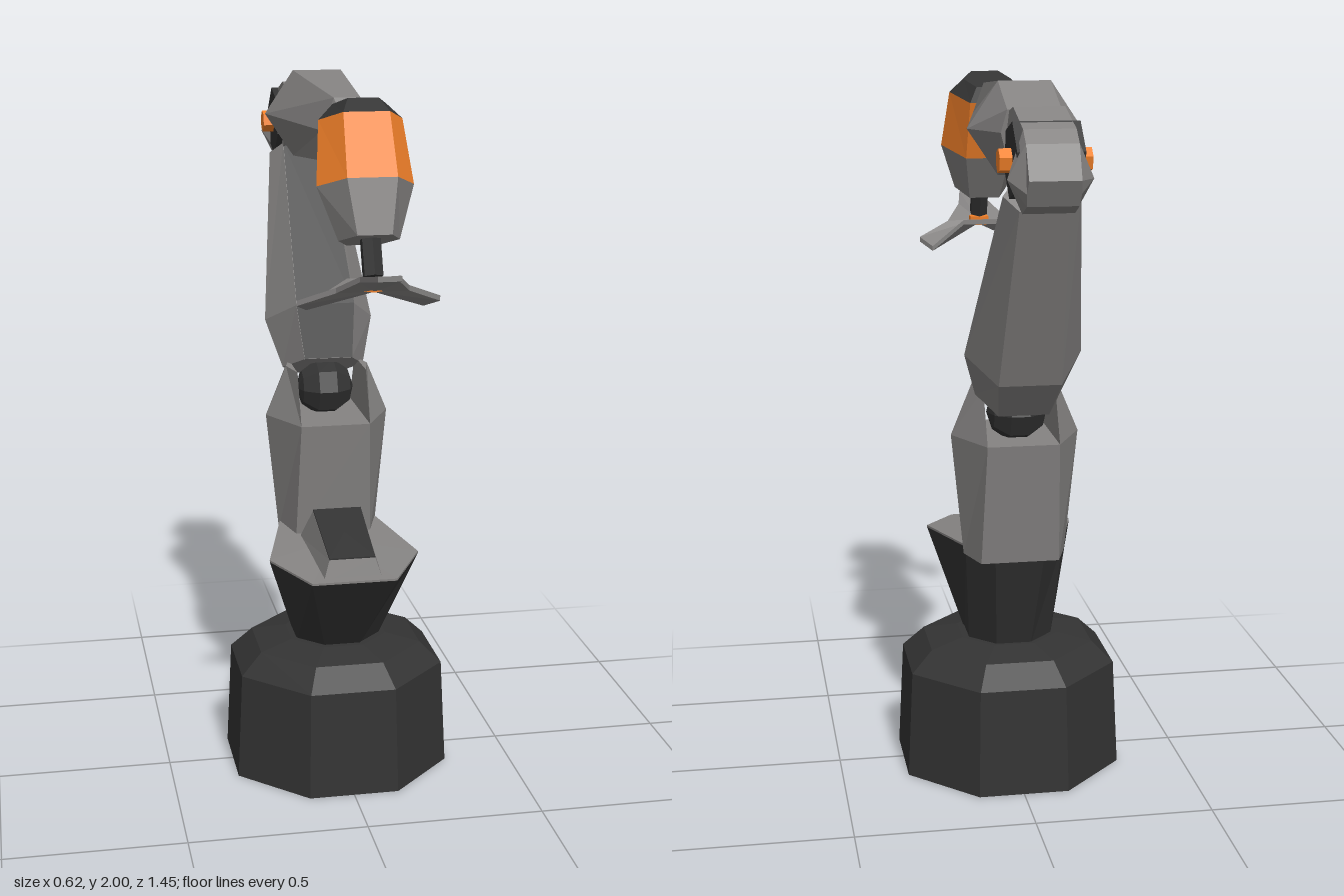
import * as THREE from 'three';

const paint = (color) => new THREE.MeshStandardMaterial({ color, flatShading: true });
const grey = paint(0x858382);
const dark = paint(0x333333);
const orange = paint(0xf5822a);
const darkPanel = paint(0x333333);
darkPanel.side = THREE.DoubleSide;

// Closed solid through matching rings of [x, y, z] points, capped by centre fans
function loft(name, material, rings) {
  const tris = [];
  const n = rings[0].length;
  const centre = (ring) => [0, 1, 2].map((k) => ring.reduce((s, p) => s + p[k], 0) / n);
  const first = rings[0], last = rings[rings.length - 1];
  const c0 = centre(first), c1 = centre(last);
  for (let i = 0; i < n; i++) {
    const j = (i + 1) % n;
    for (let r = 0; r < rings.length - 1; r++) {
      const a = rings[r], b = rings[r + 1];
      tris.push([a[i], a[j], b[j]], [a[i], b[j], b[i]]);
    }
    tris.push([c0, first[j], first[i]], [c1, last[i], last[j]]);
  }
  // turn the faces outward when the enclosed volume comes out negative
  const v = tris.map((t) => t.map((p) => new THREE.Vector3(...p)));
  const volume = v.reduce((s, [a, b, c]) => s + a.dot(b.clone().cross(c)), 0);
  if (volume < 0) v.forEach((t) => t.reverse());
  const geometry = new THREE.BufferGeometry().setFromPoints(v.flat());
  geometry.computeVertexNormals();
  const mesh = new THREE.Mesh(geometry, material);
  mesh.name = name;
  return mesh;
}

// Hexagonal ring symmetric in x between two side-view points [z, y]
function hex([fz, fy], [bz, by], wf, wm, wb = wf) {
  const mz = (fz + bz) / 2, my = (fy + by) / 2;
  return [[wf, fy, fz], [wm, my, mz], [wb, by, bz], [-wb, by, bz], [-wm, my, mz], [-wf, fy, fz]];
}

// Adds the mirror image in x to half an outline
const mirrored = (half) => [...half, ...half.map(([x, y, z]) => [-x, y, z]).reverse()];

// Prism or tapered rod between two points
function rod(name, material, from, to, radius, sides) {
  const a = new THREE.Vector3(...from), b = new THREE.Vector3(...to);
  const mesh = new THREE.Mesh(new THREE.CylinderGeometry(radius, radius, a.distanceTo(b), sides), material);
  mesh.quaternion.setFromUnitVectors(new THREE.Vector3(0, 1, 0), b.clone().sub(a).normalize());
  mesh.position.copy(a).add(b).multiplyScalar(0.5);
  mesh.name = name;
  return mesh;
}

export function createModel() {
  const model = new THREE.Group();
  model.name = 'robotArm';

  // Octagonal base, flat sides facing the axes
  const octagon = (apothem, y, z) => Array.from({ length: 8 }, (_, i) => {
    const t = (i + 0.5) * Math.PI / 4, r = apothem / Math.cos(Math.PI / 8);
    return [r * Math.cos(t), y, z + r * Math.sin(t)];
  });
  model.add(loft('base', dark, [
    octagon(0.31, 0, -0.005), octagon(0.295, 0.31, -0.005),
    octagon(0.235, 0.37, -0.005), octagon(0.14, 0.39, -0.005),
  ]));

  // Flared turret with a grey deck
  const turretFoot = mirrored([[0.05, 0.38, 0.11], [0.12, 0.38, 0.04], [0.12, 0.38, -0.06], [0.05, 0.38, -0.13]]);
  const rim = mirrored([[0.12, 0.645, 0.305], [0.215, 0.665, 0.145], [0.14, 0.69, -0.14], [0.07, 0.69, -0.24]]);
  const raise = (ring, dy) => ring.map(([x, y, z]) => [x, y + dy, z]);
  model.add(loft('turret', dark, [turretFoot, rim]));
  model.add(loft('deck', grey, [rim, raise(rim, 0.006)]));

  // Wedge cover on the deck, dark on top
  const coverTop = [[0.065, 0.703, 0.265], [0.07, 0.772, 0.03], [-0.07, 0.772, 0.03], [-0.065, 0.703, 0.265]];
  model.add(loft('deckCover', grey, [
    [[0.085, 0.64, 0.28], [0.1, 0.68, -0.02], [-0.1, 0.68, -0.02], [-0.085, 0.64, 0.28]], coverTop,
  ]));
  model.add(loft('deckCoverTop', dark, [coverTop, raise(coverTop, 0.004)]));

  // Shoulder column and its two fork prongs
  model.add(loft('shoulder', grey, [
    hex([-0.03, 0.67], [-0.24, 0.67], 0.11, 0.145),
    hex([0.015, 1.02], [-0.295, 1.02], 0.1, 0.18),
  ]));
  for (const s of [1, -1]) {
    model.add(loft(s > 0 ? 'leftShoulderProng' : 'rightShoulderProng', grey, [
      [[s * 0.1, 1.02, 0.015], [s * 0.18, 1.02, -0.14], [s * 0.1, 1.02, -0.295]],
      [[s * 0.1, 1.165, -0.05], [s * 0.12, 1.165, -0.135], [s * 0.1, 1.165, -0.22]],
    ]));
  }
  const ball = new THREE.Mesh(new THREE.SphereGeometry(0.085, 8, 5), dark);
  ball.rotation.z = Math.PI / 2;
  ball.position.set(0, 1.09, -0.17);
  ball.name = 'shoulderJoint';
  model.add(ball);

  // Upper arm with a dark strip down its front
  const armFront = [[-0.105, 1.19, 0.07], [-0.155, 1.34, 0.085], [-0.505, 1.767, 0.065]];
  const armBack = [[-0.29, 1.105], [-0.39, 1.21], [-0.59, 1.7]];
  const armWidth = [0.12, 0.16, 0.1];
  model.add(loft('upperArm', grey, armFront.map(([z, y, w], i) => hex([z, y], armBack[i], w, armWidth[i]))));
  const strip = new THREE.PlaneGeometry(1, 1, 1, 2);
  armFront.forEach(([z, y, w], i) => {
    strip.attributes.position.setXYZ(i * 2, -w, y + 0.002, z + 0.004);
    strip.attributes.position.setXYZ(i * 2 + 1, w, y + 0.002, z + 0.004);
  });
  strip.computeVertexNormals();
  const stripMesh = new THREE.Mesh(strip, darkPanel);
  stripMesh.name = 'upperArmStrip';
  model.add(stripMesh);

  // Elbow: dark hexagonal hub, orange pins, grey housing
  const hub = new THREE.Group();
  hub.name = 'elbowHub';
  hub.position.set(0, 1.825, -0.577);
  hub.rotation.x = 0.3;
  hub.add(rod('hub', dark, [-0.085, 0, 0], [0.085, 0, 0], 0.1, 6));
  hub.add(rod('hubPins', orange, [-0.117, 0, 0], [0.117, 0, 0], 0.032, 6));
  model.add(hub);
  model.add(loft('elbowBand', grey, [
    hex([-0.44, 1.935], [-0.42, 1.83], 0.066, 0.07),
    hex([-0.5, 1.95], [-0.49, 1.76], 0.066, 0.075),
    hex([-0.645, 1.907], [-0.6, 1.725], 0.066, 0.075),
    hex([-0.685, 1.875], [-0.635, 1.7], 0.066, 0.108),
    hex([-0.727, 1.79], [-0.695, 1.725], 0.065, 0.068),
  ]));

  // Forearm
  model.add(loft('forearm', grey, [
    hex([-0.435, 1.938], [-0.42, 1.82], 0.07, 0.085),
    hex([-0.287, 2.0], [-0.287, 1.756], 0.07, 0.152),
    hex([0.175, 1.965], [0.175, 1.793], 0.036, 0.068),
    hex([0.222, 1.92], [0.222, 1.835], 0.025, 0.045),
  ]));
  model.add(rod('wrist', dark, [0, 1.88, 0.2], [0, 1.88, 0.31], 0.034, 6));

  // Hand: dark cap, orange shell, grey lower part
  const capTop = hex([0.39, 1.985], [0.285, 1.945], 0.04, 0.07);
  const shellTop = hex([0.435, 1.955], [0.275, 1.9], 0.06, 0.11);
  const shellLow = hex([0.515, 1.8], [0.33, 1.735], 0.065, 0.127);
  const handLow = hex([0.548, 1.66], [0.4, 1.61], 0.045, 0.08);
  model.add(loft('handCap', dark, [capTop, shellTop]));
  model.add(loft('handShell', orange, [shellTop, shellLow]));
  model.add(loft('handLower', grey, [shellLow, handLow]));
  model.add(rod('clawStem', dark, [0, 1.66, 0.48], [0, 1.55, 0.525], 0.028, 6));

  // Three-pronged claw with an orange pad underneath
  const claw = mirrored([
    [0.03, 1.59, 0.728], [0.05, 1.567, 0.605], [0.095, 1.525, 0.525],
    [0.188, 1.485, 0.474], [0.155, 1.463, 0.425], [0.055, 1.535, 0.46],
  ]);
  model.add(loft('claw', grey, [raise(claw, -0.014), claw]));
  model.add(rod('clawPad', orange, [0, 1.515, 0.52], [0, 1.54, 0.52], 0.032, 6));
  return model;
}
